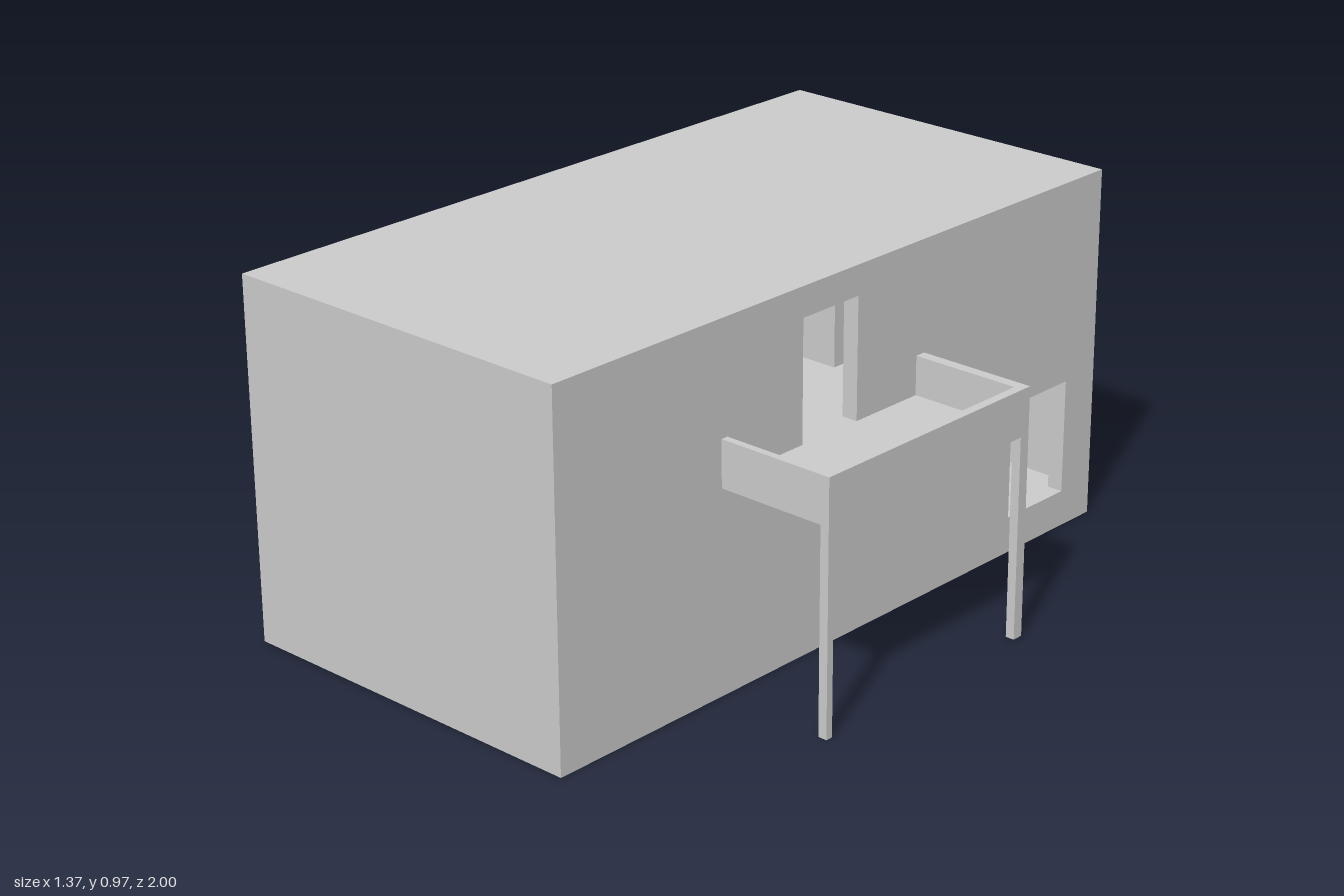
import * as THREE from 'three';

const material = new THREE.MeshStandardMaterial({ color: 0xcccccc, flatShading: true });

// Box given by its minimum and maximum on each axis
function block(name, [x0, x1], [y0, y1], [z0, z1]) {
  const mesh = new THREE.Mesh(new THREE.BoxGeometry(x1 - x0, y1 - y0, z1 - z0), material);
  mesh.position.set((x0 + x1) / 2, (y0 + y1) / 2, (z0 + z1) / 2);
  mesh.name = name;
  return mesh;
}

// Long wall in the z-y plane from x0 to x1, pierced by openings [zMin, zMax, yMin, yMax]
function piercedWall(name, x0, x1, height, openings) {
  const rect = (target, z0, z1, y0, y1) => target
    .moveTo(-z1, y0).lineTo(-z0, y0).lineTo(-z0, y1).lineTo(-z1, y1).closePath();
  const shape = rect(new THREE.Shape(), -1, 1, 0, height);
  for (const o of openings) shape.holes.push(rect(new THREE.Path(), ...o));
  const geometry = new THREE.ExtrudeGeometry(shape, { depth: x1 - x0, bevelEnabled: false });
  geometry.rotateY(Math.PI / 2).translate(x0, 0, 0);
  const mesh = new THREE.Mesh(geometry, material);
  mesh.name = name;
  return mesh;
}

export function createModel() {
  const model = new THREE.Group();
  model.name = 'house';
  const height = 0.97;
  const xOuter = [-0.685, 0.355];
  const xInner = [-0.61, 0.31];
  const zInner = [-0.95, 0.95];

  // Outer walls with the balcony door and the windows
  const walls = new THREE.Group();
  walls.name = 'walls';
  walls.add(
    piercedWall('balconySideWall', xInner[1], xOuter[1], height, [
      [-0.03, 0.17, 0.565, 0.89],
      [-0.88, -0.65, 0.1, 0.415],
    ]),
    piercedWall('farSideWall', xOuter[0], xInner[0], height, [[-0.03, 0.43, 0.095, 0.415]]),
    block('frontWall', xInner, [0, height], [zInner[1], 1]),
    block('backWall', xInner, [0, height], [-1, zInner[0]]),
  );
  model.add(walls);

  // Floors and roof between the walls
  model.add(
    block('groundFloor', xInner, [0, 0.095], zInner),
    block('upperFloor', xInner, [0.41, 0.565], zInner),
    block('roof', xInner, [0.885, height], zInner),
  );

  // Interior partitions
  model.add(
    block('lowerPartition', [-0.41, xInner[1]], [0.095, 0.41], [0.44, 0.46]),
    block('upperPartition', [xInner[0], 0.085], [0.565, 0.885], [zInner[0], -0.26]),
  );

  // Balcony: deck, parapets and two posts
  const balcony = new THREE.Group();
  balcony.name = 'balcony';
  const xRail = [0.66, 0.685];
  const rail = [0.545, 0.67];
  const sides = [[-0.285, -0.255], [0.435, 0.455]];
  balcony.add(
    block('deck', [xOuter[1], xRail[0]], [0.545, 0.565], [sides[0][1], sides[1][0]]),
    block('outerParapet', xRail, rail, [sides[0][0], sides[1][1]]),
  );
  for (const z of sides) {
    balcony.add(
      block('sideParapet', [xOuter[1], xRail[0]], rail, z),
      block('post', xRail, [0, rail[0]], z),
    );
  }
  model.add(balcony);
  return model;
}
